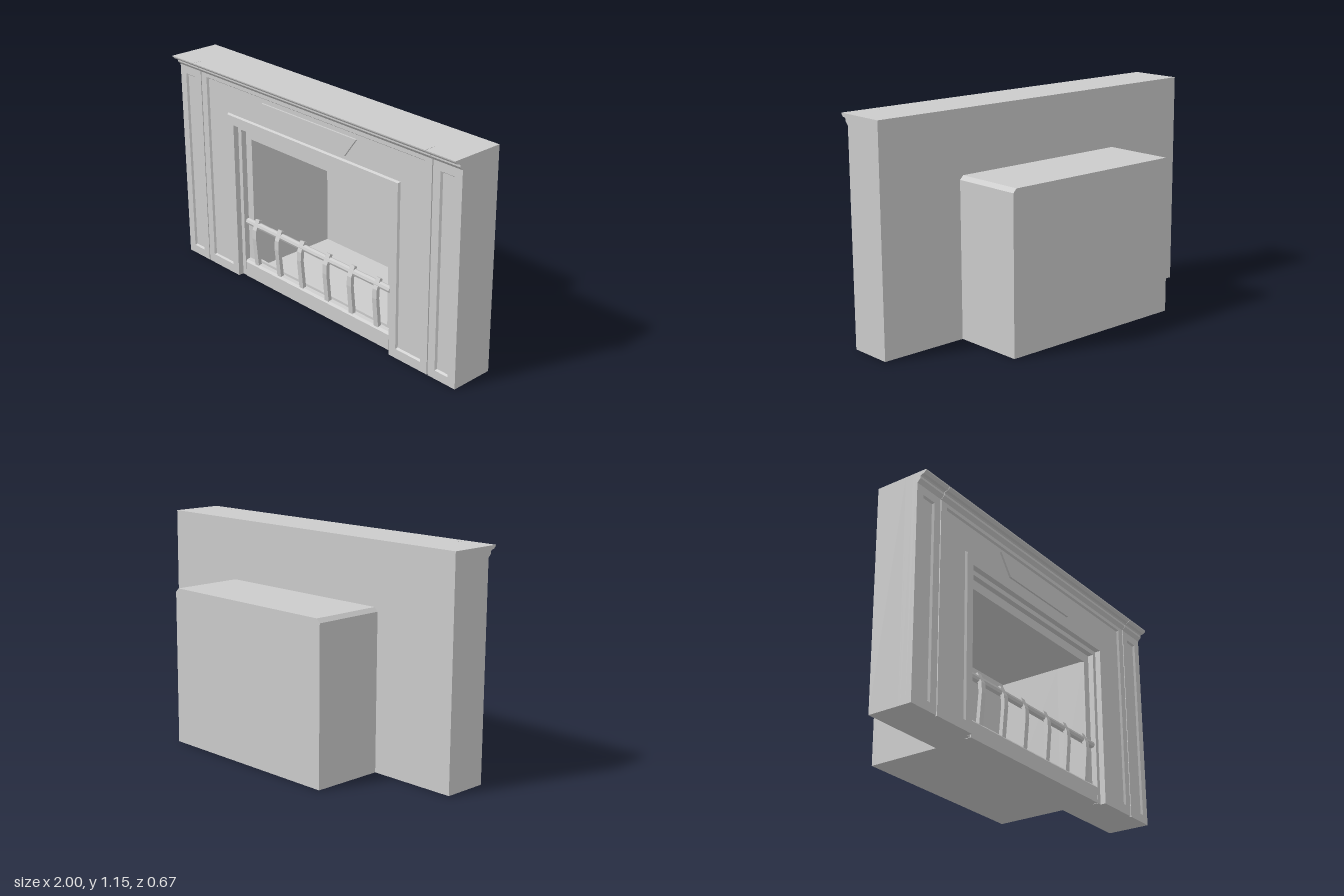
import * as THREE from 'three';

const mat = new THREE.MeshStandardMaterial({ color: 0xcccccc, flatShading: true });
const V = (p) => p.map(([x, y]) => new THREE.Vector2(x, y));
const rect = (x0, y0, x1, y1) => [[x0, y0], [x1, y0], [x1, y1], [x0, y1]];
// wall outline with an opening that reaches the ground
const arch = (w, h, ow, oh) => [[-w, 0], [-ow, 0], [-ow, oh], [ow, oh], [ow, 0], [w, 0], [w, h], [-w, h]];

function add(group, name, geometry) {
  const mesh = new THREE.Mesh(geometry, mat);
  mesh.name = name;
  group.add(mesh);
  return mesh;
}

// flat outline with holes, extruded from z0 to z1
function slab(outline, holes, z0, z1) {
  const shape = new THREE.Shape(V(outline));
  for (const h of holes) shape.holes.push(new THREE.Path(V(h)));
  return new THREE.ExtrudeGeometry(shape, { depth: z1 - z0, bevelEnabled: false }).translate(0, 0, z0);
}

// (z, y) profile extruded along x, centred on x = 0
function alongX(profile, width) {
  return new THREE.ExtrudeGeometry(new THREE.Shape(V(profile)), { depth: width, bevelEnabled: false })
    .translate(0, 0, -width / 2).rotateY(-Math.PI / 2);
}

// counter-clockwise outline moved inward by d with mitred corners
function inset(points, d) {
  const n = points.length;
  return points.map((p, i) => {
    const dir = (a, b) => new THREE.Vector2(b[0] - a[0], b[1] - a[1]).normalize();
    const u = dir(points[(i + n - 1) % n], p), v = dir(p, points[(i + 1) % n]);
    const n1 = new THREE.Vector2(-u.y, u.x), n2 = new THREE.Vector2(-v.y, v.x);
    const m = n1.clone().add(n2).multiplyScalar(d / (1 + n1.dot(n2)));
    return [p[0] + m.x, p[1] + m.y];
  });
}

// sloping border from the outline at zTop down to its inset at zLow
function bevelRing(points, d, zTop, zLow) {
  const inner = inset(points, d), pos = [];
  points.forEach((p, i) => {
    const j = (i + 1) % points.length;
    const a = [...p, zTop], b = [...points[j], zTop], c = [...inner[j], zLow], e = [...inner[i], zLow];
    pos.push(...a, ...b, ...c, ...a, ...c, ...e);
  });
  const g = new THREE.BufferGeometry();
  g.setAttribute('position', new THREE.Float32BufferAttribute(pos, 3));
  g.computeVertexNormals();
  return g;
}

export function createModel() {
  const model = new THREE.Group();
  model.name = 'fireplace';
  const H = 1.15, FRONT = 0.285, PANEL = 0.275, BACK = 0.05;

  // chimney breast in layers that step inward to the fire opening
  const breast = new THREE.Group();
  breast.name = 'chimneyBreast';
  model.add(breast);
  add(breast, 'rearWall', slab(rect(-1, 0, 1, H), [rect(-0.51, 0.04, 0.51, 0.8)], BACK, 0.215));
  add(breast, 'innerFrame', slab(rect(-1, 0, 1, H), [rect(-0.5, 0.11, 0.5, 0.79)], 0.215, 0.225));
  add(breast, 'innerStep', slab(arch(1, H, 0.545, 0.84), [], 0.225, 0.255));
  add(breast, 'outerStep', slab(arch(1, H, 0.57, 0.865), [], 0.255, PANEL));

  // firebox behind the wall
  const w = 0.53, t = 0.825, c = 0.02;
  const boxOutline = [[-w, 0], [w, 0], [w, t - c], [w - c, t], [c - w, t], [-w, t - c]];
  add(model, 'fireboxWalls', slab(boxOutline, [rect(-0.51, 0.04, 0.51, 0.8)], -0.31, BACK));
  add(model, 'fireboxBack', slab(boxOutline, [], -0.335, -0.31));

  // centre facing with a sunken panel running round the opening
  const surround = new THREE.Group();
  surround.name = 'surround';
  model.add(surround);
  const uPanel = [[-0.78, 0.05], [-0.615, 0.05], [-0.615, 0.913], [0.615, 0.913],
    [0.615, 0.05], [0.78, 0.05], [0.78, 1.075], [-0.78, 1.075]];
  add(surround, 'surroundFacing', slab(arch(0.822, 1.095, 0.57, 0.865), [uPanel], PANEL, FRONT));
  add(surround, 'surroundPanelBevel', bevelRing(uPanel, 0.007, FRONT, PANEL));
  add(surround, 'keyPlate', slab([[-0.26, 0.94], [0.26, 0.94], [0.34, 1.045], [-0.34, 1.045]], [], PANEL, FRONT));

  // pilasters with sunken panels
  for (const s of [-1, 1]) {
    const side = s > 0 ? 'left' : 'right';
    const strip = (a, b, y0, y1) => rect(Math.min(s * a, s * b), y0, Math.max(s * a, s * b), y1);
    const panel = strip(0.872, 0.955, 0.045, 1.052);
    add(model, side + 'Pilaster', slab(strip(0.828, 1, 0, 1.095), [panel], PANEL, FRONT));
    add(model, side + 'PilasterBevel', bevelRing(panel, 0.007, FRONT, PANEL));
  }

  // moulded cornice in three lengths
  const cornice = [[PANEL, 1.095], [FRONT, 1.095], [0.302, 1.113], [0.302, 1.125], [0.308, 1.13],
    [0.322, 1.132], [0.334, 1.144], [0.335, H], [PANEL, H]];
  for (const [name, x, width] of [['rightCornice', -0.9125, 0.175], ['centreCornice', 0, 1.646], ['leftCornice', 0.9125, 0.175]])
    add(model, name, alongX(cornice, width)).position.x = x;

  // hearth sill
  add(model, 'sill', alongX([[0.2, 0], [0.257, 0], [0.257, 0.083], [0.247, 0.095], [0.2, 0.1]], 1.08));

  // fire guard: rail and bent bars
  const guard = new THREE.Group();
  guard.name = 'fireGuard';
  model.add(guard);
  add(guard, 'rail', new THREE.CylinderGeometry(0.018, 0.018, 1.07, 8).rotateZ(Math.PI / 2)).position.set(0, 0.32, 0.236);
  const bar = [[0.23, 0.085], [0.25, 0.085], [0.265, 0.25], [0.262, 0.3], [0.238, 0.355], [0.222, 0.347], [0.242, 0.295], [0.245, 0.25]];
  for (const x of [-0.455, -0.275, -0.1, 0.093, 0.27, 0.448])
    add(guard, 'guardBar', alongX(bar, 0.03)).position.x = x;

  return model;
}
